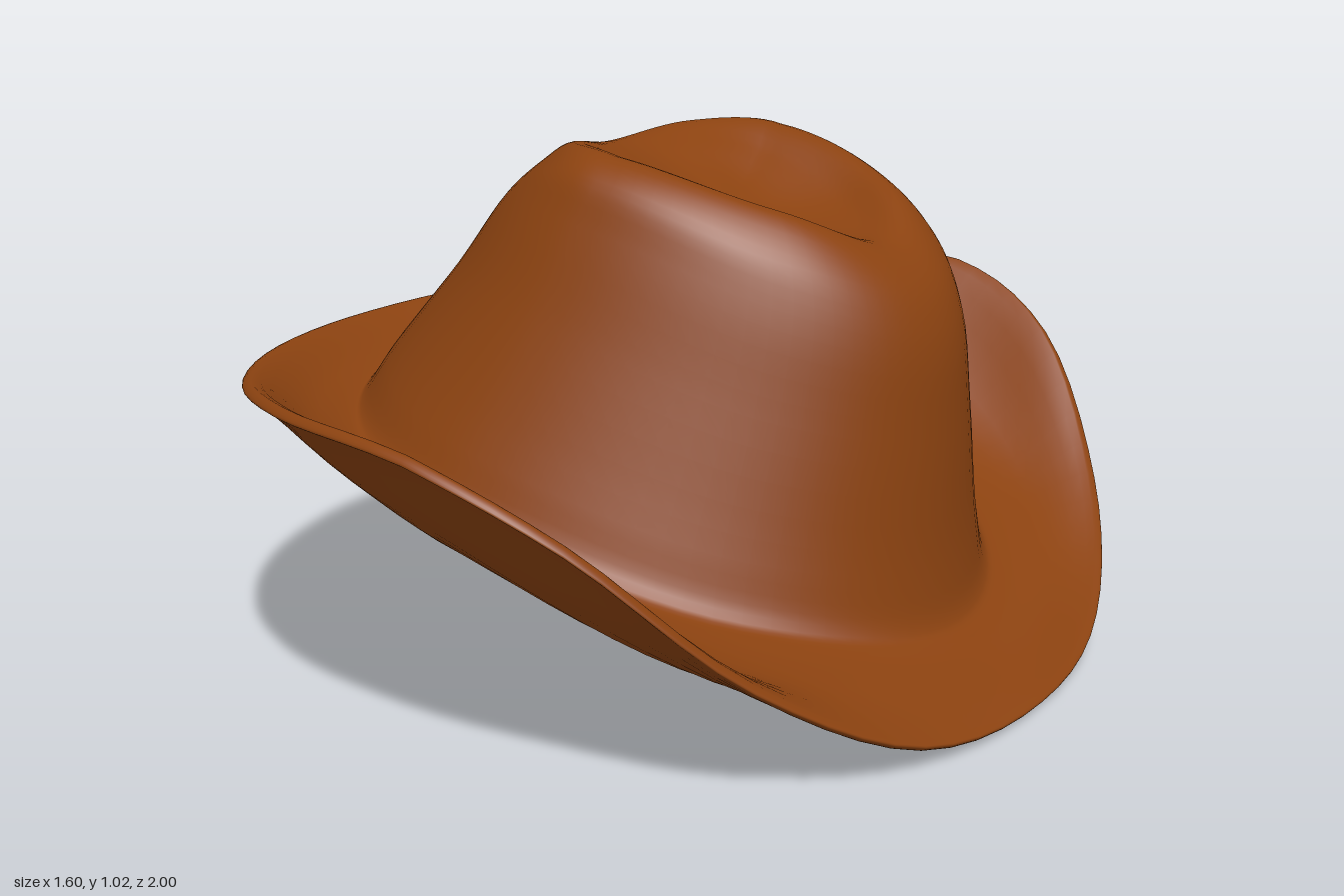
import * as THREE from 'three';

const SEGMENTS = 80; // columns around the hat
const STEPS = 5; // rows between neighbouring loops

// Each loop: centre x, front radius, back radius, half width,
// and heights at even angles from the front (+x) round to the back (-x)
const loop = (cx, front, back, half, heights) => ({ cx, front, back, half, heights });

const crownLoops = [
  loop(0.08, 0, 0, 0, [0.91, 0.91]),
  loop(0.07, 0.15, 0.08, 0.10, [0.865, 0.88, 0.92, 0.945, 0.95]),
  loop(0.05, 0.31, 0.14, 0.20, [0.855, 0.89, 0.965, 0.99, 0.985]),
  loop(0.03, 0.42, 0.22, 0.29, [0.85, 0.93, 1.015, 1.02, 0.995]),
  loop(0.04, 0.49, 0.29, 0.36, [0.785, 0.86, 0.98, 0.985, 0.96]),
  loop(0.02, 0.555, 0.35, 0.40, [0.68, 0.76, 0.9, 0.92, 0.9]),
  loop(-0.02, 0.61, 0.42, 0.47, [0.5, 0.57, 0.72, 0.77, 0.77]),
  loop(-0.08, 0.68, 0.51, 0.575, [0.25, 0.33, 0.49, 0.58, 0.6]),
  loop(-0.1, 0.72, 0.54, 0.625, [0.14, 0.23, 0.4, 0.5, 0.535]),
];
const brimLoops = [
  loop(-0.08, 0.73, 0.56, 0.68, [0.115, 0.215, 0.395, 0.495, 0.53]),
  loop(0.03, 0.68, 0.72, 0.83, [0.075, 0.21, 0.47, 0.53, 0.54]),
];
const rim = loop(0.12, 0.68, 0.92, 1.0,
  [0.016, 0.055, 0.235, 0.49, 0.615, 0.625, 0.6, 0.582, 0.575]);

// Copy of a loop moved inward and up or down
const offset = (l, inset, dy) => loop(l.cx,
  Math.max(0, l.front - inset), Math.max(0, l.back - inset), Math.max(0, l.half - inset),
  l.heights.map((h) => h + dy));

// Smooth height between the keys, mirrored about the front and back
function heightAt(keys, angle) {
  const last = keys.length - 1;
  const f = (angle > Math.PI ? 2 * Math.PI - angle : angle) / Math.PI * last;
  const i = Math.min(Math.floor(f), last - 1);
  const t = f - i;
  const key = (k) => keys[k < 0 ? -k : k > last ? 2 * last - k : k];
  const a = key(i - 1), b = key(i), c = key(i + 1), d = key(i + 2);
  return b + 0.5 * t * (c - a + t * (2 * a - 5 * b + 4 * c - d + t * (3 * (b - c) + d - a)));
}

function pointOn(l, angle) {
  const c = Math.cos(angle);
  return new THREE.Vector3(
    l.cx + (c > 0 ? l.front : l.back) * c,
    heightAt(l.heights, angle),
    l.half * Math.sin(angle));
}

export function createModel() {
  const group = new THREE.Group();
  group.name = 'hat';
  const leather = new THREE.MeshStandardMaterial({ color: 0x8b4210 });
  leather.name = 'saddle brown';

  // Felt shell: crown top, out over the brim, round the rim, back up inside
  const loops = [
    ...crownLoops,
    ...brimLoops,
    offset(rim, 0.018, 0.012),
    rim,
    offset(rim, 0.018, -0.012),
    ...[...brimLoops].reverse().map((l) => offset(l, 0.005, -0.032)),
    ...[...crownLoops].reverse().map((l) => offset(l, 0.025, -0.03)),
  ];
  const rows = (loops.length - 1) * STEPS;
  const positions = new Float32Array((rows + 1) * SEGMENTS * 3);
  for (let c = 0; c < SEGMENTS; c++) {
    const angle = c / SEGMENTS * Math.PI * 2;
    const curve = new THREE.CatmullRomCurve3(loops.map((l) => pointOn(l, angle)));
    for (let r = 0; r <= rows; r++) {
      curve.getPoint(r / rows).toArray(positions, (r * SEGMENTS + c) * 3);
    }
  }

  // Faces of a band of rows; the two poles each share one vertex
  const at = (r, c) => r * SEGMENTS + (r === 0 || r === rows ? 0 : c % SEGMENTS);
  const band = (from, to) => {
    const index = [];
    for (let r = from; r < to; r++) {
      for (let c = 0; c < SEGMENTS; c++) {
        const a = at(r, c), b = at(r, c + 1), d = at(r + 1, c), e = at(r + 1, c + 1);
        if (a !== b) index.push(a, b, d);
        if (d !== e) index.push(b, e, d);
      }
    }
    return index;
  };

  // Normals come from the whole shell so the parts join smoothly
  const shell = new THREE.BufferGeometry();
  shell.setAttribute('position', new THREE.BufferAttribute(positions, 3));
  shell.setIndex(band(0, rows));
  shell.computeVertexNormals();

  const crownEnd = (crownLoops.length - 1) * STEPS;
  const parts = [
    ['crown', 0, crownEnd],
    ['brim', crownEnd, rows - crownEnd],
    ['crownLining', rows - crownEnd, rows],
  ];
  for (const [name, from, to] of parts) {
    const geometry = shell.clone();
    geometry.setIndex(band(from, to));
    const mesh = new THREE.Mesh(geometry, leather);
    mesh.name = name;
    group.add(mesh);
  }
  return group;
}
